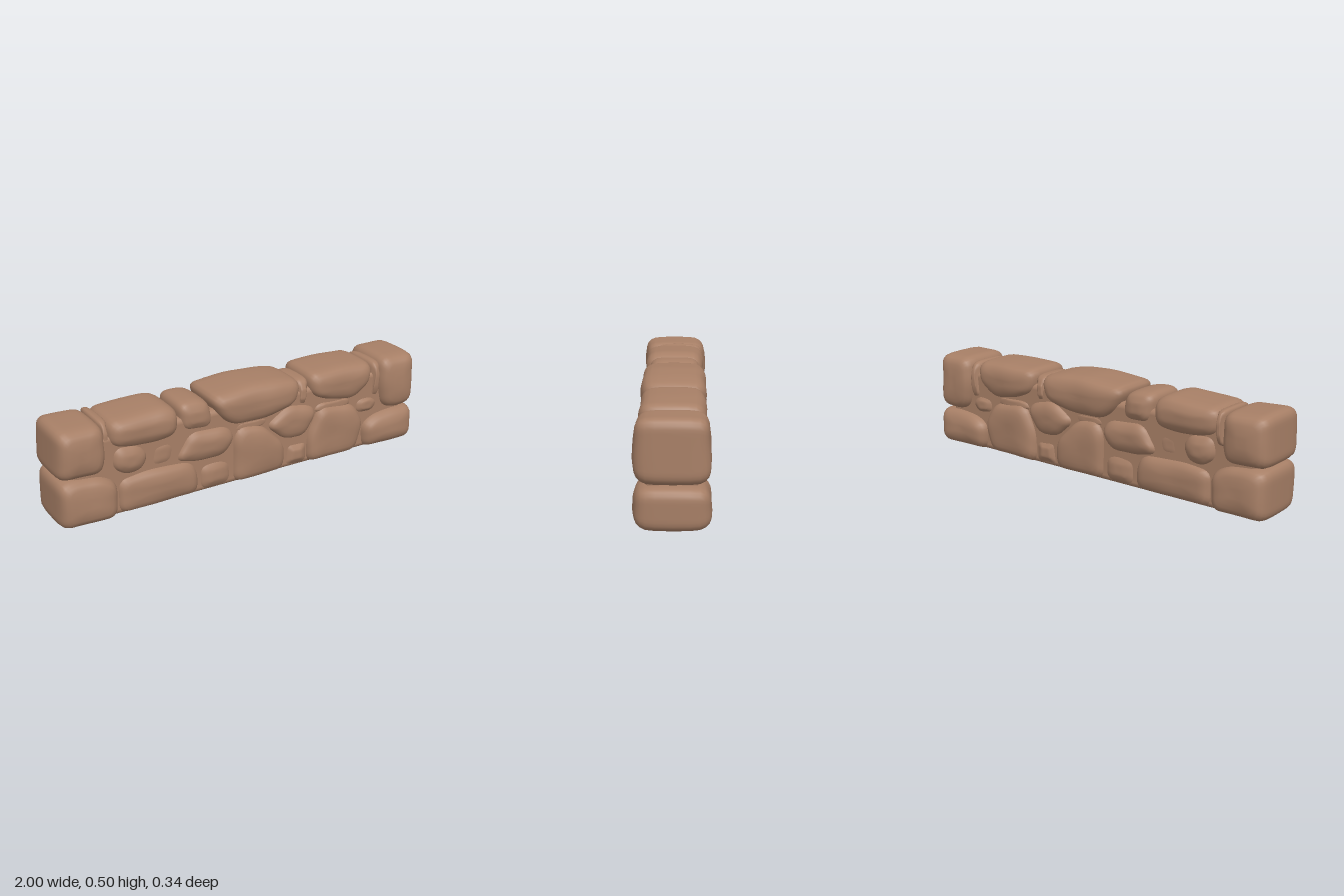
import * as THREE from 'three';
import { RoundedBoxGeometry } from 'three/addons/geometries/RoundedBoxGeometry.js';

const SEGMENTS = 56;
// half of the depth profile: [fraction of half depth, edge inset]
const PROFILE = [[0, 0], [0.45, 0.001], [0.7, 0.005], [0.84, 0.014], [0.93, 0.027], [0.98, 0.045], [1, 0.068]];

// Outline with softened corners, sampled evenly
function outline(corners, radius) {
  const pts = [];
  for (let i = 0; i < corners.length; i += 2) pts.push(new THREE.Vector2(corners[i], corners[i + 1]));
  const path = new THREE.Path();
  pts.forEach((p, i) => {
    const prev = pts[(i + pts.length - 1) % pts.length];
    const next = pts[(i + 1) % pts.length];
    const toward = (q) => p.clone().lerp(q, Math.min(0.45, radius / p.distanceTo(q)));
    const a = toward(prev), b = toward(next);
    if (i === 0) path.moveTo(a.x, a.y);
    else path.lineTo(a.x, a.y);
    path.quadraticCurveTo(p.x, p.y, b.x, b.y);
  });
  path.closePath();
  return path.getSpacedPoints(SEGMENTS).slice(0, SEGMENTS);
}

// Pillow-shaped stone running through the wall; corners go counter-clockwise
function stoneGeometry(corners, depth, radius, zMid) {
  const loop = outline(corners, radius);
  const box = new THREE.Box2().setFromPoints(loop);
  const c = box.getCenter(new THREE.Vector2());
  const half = box.getSize(new THREE.Vector2()).multiplyScalar(0.5);
  const rings = [...PROFILE.slice(1).reverse().map(([f, s]) => [-f, s, 1]), ...PROFILE.map(([f, s]) => [f, s, 1])];
  const last = PROFILE[PROFILE.length - 1][1];
  // the broad faces continue inwards as shrinking rings
  for (const k of [0.7, 0.4, 0.12]) {
    rings.unshift([-1.015, last, k]);
    rings.push([1.015, last, k]);
  }
  const pos = [], index = [];
  rings.forEach(([f, inset, k]) => {
    const sx = k * (1 - Math.min(inset / half.x, 0.6));
    const sy = k * (1 - Math.min(inset / half.y, 0.6));
    for (const p of loop) {
      const x = c.x + (p.x - c.x) * sx, y = c.y + (p.y - c.y) * sy;
      const lump = 1 + 0.035 * Math.sin(x * 17 + y * 9 + f * 2) * Math.cos(y * 15 - x * 6 + f);
      pos.push(x, y, zMid + f * depth * lump);
    }
  });
  const n = SEGMENTS, count = rings.length;
  for (let r = 0; r < count - 1; r++) {
    for (let i = 0; i < n; i++) {
      const j = (i + 1) % n, a = r * n + i, b = r * n + j;
      index.push(a, b, b + n, a, b + n, a + n);
    }
  }
  // close the small hole at each end
  for (let i = 1; i < n - 1; i++) {
    index.push(0, i + 1, i);
    const e = (count - 1) * n;
    index.push(e, e + i, e + i + 1);
  }
  const g = new THREE.BufferGeometry();
  g.setAttribute('position', new THREE.Float32BufferAttribute(pos, 3));
  g.setIndex(index);
  g.computeVertexNormals();
  return g;
}

export function createModel() {
  const wall = new THREE.Group();
  wall.name = 'stoneWall';
  const stoneBrown = new THREE.MeshStandardMaterial({ color: 0xa77f66 });
  stoneBrown.name = 'stoneBrown';

  const add = (name, geometry) => {
    const mesh = new THREE.Mesh(geometry, stoneBrown);
    mesh.name = name;
    wall.add(mesh);
    return mesh;
  };
  const stone = (name, depth, corners, radius = 0.05, zMid = 0) =>
    add(name, stoneGeometry(corners, depth, radius, zMid));

  // Recessed filling between the stones
  add('filling', new RoundedBoxGeometry(1.86, 0.41, 0.225, 3, 0.03)).position.y = 0.21;

  // End blocks
  stone('rightEndTop', 0.16, [-1, 0.25, -0.78, 0.24, -0.755, 0.32, -0.76, 0.48, -0.99, 0.49]);
  stone('rightEndBottom', 0.16, [-0.995, 0.005, -0.71, 0.005, -0.7, 0.18, -0.78, 0.235, -0.93, 0.25, -0.995, 0.235]);
  stone('leftEndTop', 0.158, [0.79, 0.22, 0.87, 0.19, 0.99, 0.205, 0.99, 0.485, 0.78, 0.485, 0.765, 0.35]);
  stone('leftEndBottom', 0.16, [0.68, 0.005, 0.995, 0.005, 1, 0.19, 0.86, 0.2, 0.74, 0.185, 0.67, 0.14]);

  // Top course
  stone('topStoneA', 0.145, [-0.74, 0.36, -0.64, 0.33, -0.5, 0.32, -0.39, 0.34, -0.38, 0.46, -0.44, 0.495, -0.74, 0.48]);
  stone('topStoneB', 0.13, [-0.37, 0.34, -0.22, 0.325, -0.19, 0.36, -0.21, 0.46, -0.27, 0.485, -0.38, 0.485]);
  stone('topStoneC', 0.15, [-0.17, 0.37, -0.09, 0.31, 0.09, 0.305, 0.27, 0.35, 0.3, 0.47, 0.18, 0.495, 0.02, 0.505, -0.22, 0.485]);
  stone('topStoneD', 0.12, [0.26, 0.32, 0.34, 0.31, 0.36, 0.46, 0.28, 0.465], 0.03);
  stone('topStoneE', 0.145, [0.35, 0.37, 0.46, 0.32, 0.62, 0.29, 0.72, 0.37, 0.73, 0.48, 0.56, 0.49, 0.34, 0.485]);
  stone('topStoneF', 0.125, [0.71, 0.27, 0.79, 0.26, 0.8, 0.46, 0.74, 0.47], 0.03);
  stone('topSliver', 0.13, [-0.78, 0.31, -0.73, 0.31, -0.72, 0.475, -0.77, 0.485], 0.02, -0.02);

  // Middle course
  stone('middleStoneA', 0.135, [-0.74, 0.25, -0.66, 0.19, -0.57, 0.2, -0.53, 0.28, -0.58, 0.35, -0.72, 0.36]);
  stone('middleStoneB', 0.115, [-0.56, 0.18, -0.4, 0.18, -0.37, 0.3, -0.42, 0.35, -0.56, 0.34]);
  stone('middleStoneC', 0.14, [-0.42, 0.2, -0.3, 0.165, -0.13, 0.165, -0.07, 0.26, -0.12, 0.33, -0.33, 0.345]);
  stone('middleStoneD', 0.117, [-0.12, 0.26, 0.12, 0.25, 0.14, 0.33, -0.1, 0.34]);
  stone('middleStoneE', 0.14, [0.08, 0.27, 0.2, 0.16, 0.33, 0.155, 0.4, 0.28, 0.36, 0.33, 0.22, 0.36]);
  stone('middleStoneF', 0.122, [0.35, 0.26, 0.62, 0.24, 0.62, 0.33, 0.38, 0.34]);
  stone('middleStoneG', 0.125, [0.62, 0.2, 0.76, 0.18, 0.8, 0.25, 0.74, 0.31, 0.62, 0.3]);

  // Bottom course
  stone('bottomStoneA', 0.142, [-0.71, 0.005, -0.28, 0.005, -0.28, 0.13, -0.32, 0.195, -0.56, 0.21, -0.71, 0.19]);
  stone('bottomStoneB', 0.125, [-0.29, 0.005, -0.09, 0.005, -0.09, 0.14, -0.16, 0.17, -0.29, 0.16]);
  stone('bottomStoneC', 0.145, [-0.1, 0.005, 0.21, 0.005, 0.21, 0.15, 0.07, 0.29, -0.06, 0.31, -0.1, 0.25]);
  stone('bottomStoneD', 0.125, [0.19, 0.005, 0.35, 0.005, 0.35, 0.14, 0.21, 0.15], 0.03);
  stone('bottomStoneE', 0.147, [0.33, 0.005, 0.65, 0.005, 0.69, 0.16, 0.62, 0.28, 0.4, 0.31, 0.33, 0.16]);
  return wall;
}
